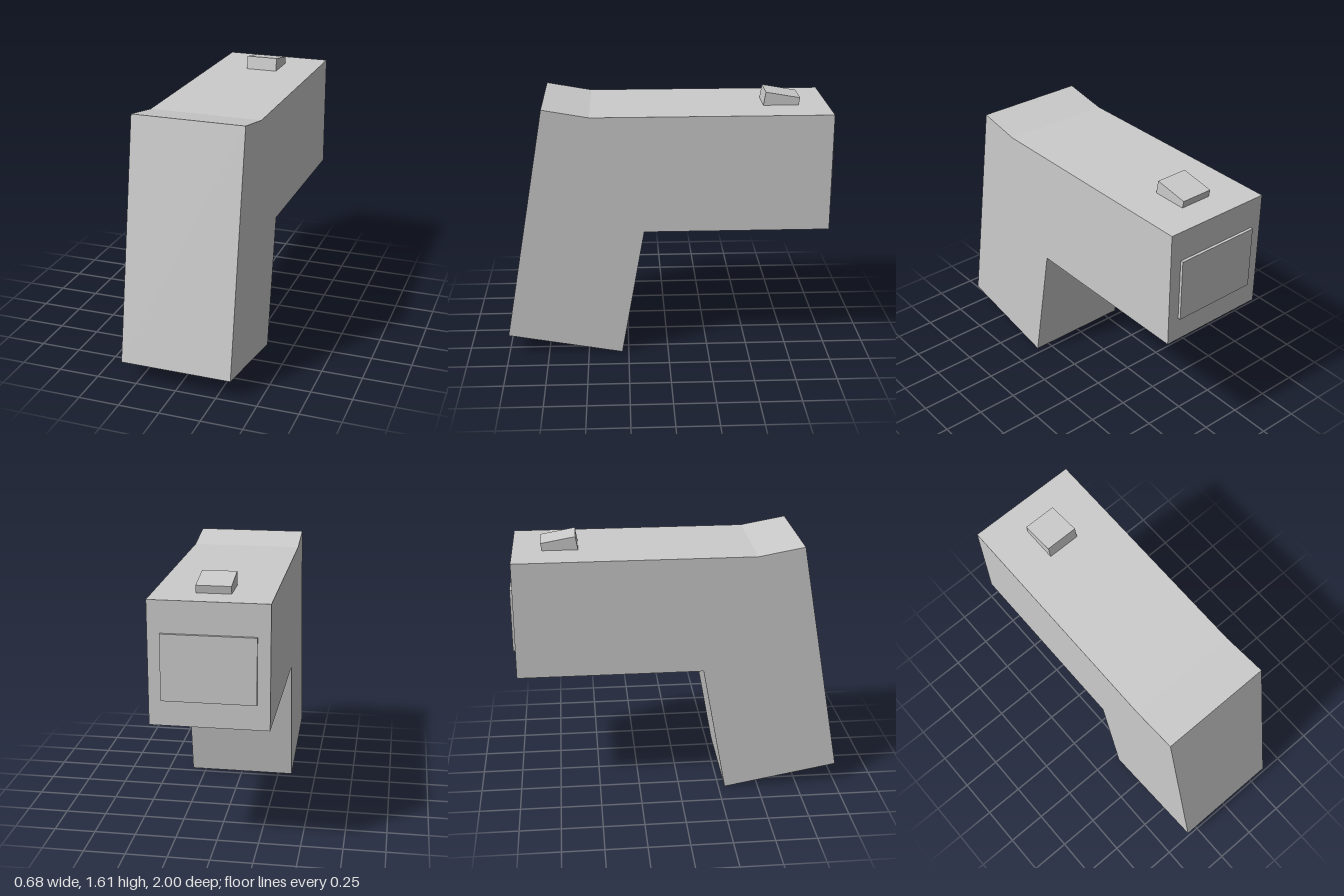
import * as THREE from 'three';

const material = new THREE.MeshStandardMaterial({ color: 0xcccccc, flatShading: true });

// Extrudes a side profile of [z, y] points across x, centred on x = 0
function sideProfile(name, points, width) {
  const shape = new THREE.Shape(points.map(([z, y]) => new THREE.Vector2(z, y)));
  const geometry = new THREE.ExtrudeGeometry(shape, { depth: width, bevelEnabled: false });
  geometry.translate(0, 0, -width / 2);
  geometry.rotateY(-Math.PI / 2);
  const mesh = new THREE.Mesh(geometry, material);
  mesh.name = name;
  return mesh;
}

export function createModel() {
  const model = new THREE.Group();
  model.name = 'angledBody';

  // Horizontal barrel joined to the slanted grip
  model.add(sideProfile('barrelAndGrip', [
    [0.29, 0], [1, 0.128], [0.745, 1.58], [0.465, 1.53],
    [-0.983, 1.53], [-0.983, 0.81], [0.147, 0.81],
  ], 0.68));

  // Tilted block on top, sunk slightly into the barrel
  model.add(sideProfile('topSight', [
    [-0.587, 1.52], [-0.602, 1.612], [-0.812, 1.575], [-0.802, 1.52],
  ], 0.2));

  // Thin raised panel on the back end
  const panel = new THREE.Mesh(new THREE.BoxGeometry(0.536, 0.385, 0.03), material);
  panel.name = 'backPanel';
  panel.position.set(0, 1.152, -0.985);
  model.add(panel);

  return model;
}
